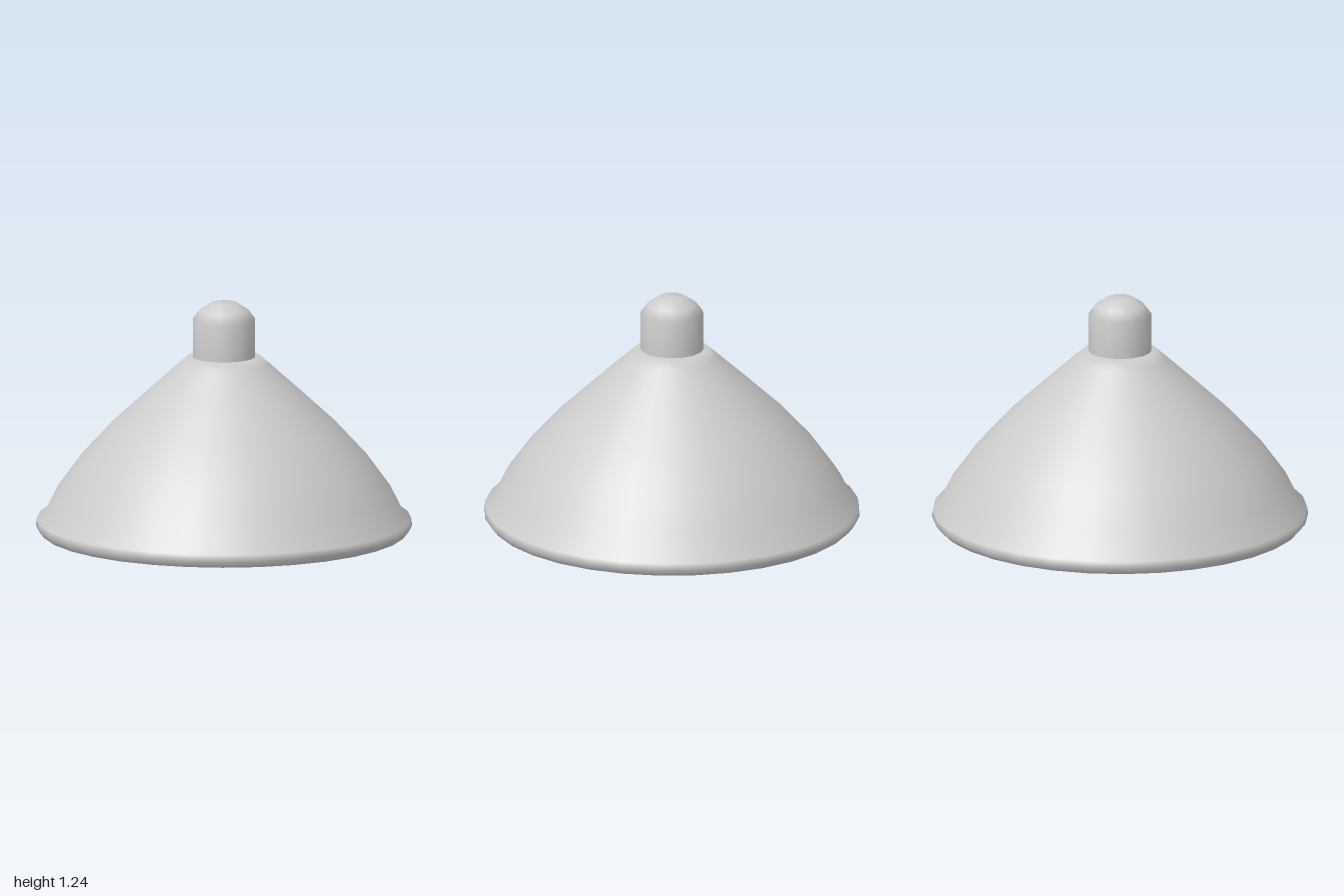
import * as THREE from 'three';

const grey = new THREE.MeshStandardMaterial({ color: 0xcccccc, side: THREE.DoubleSide });
grey.name = 'light grey';

// Smooth surface of revolution from [radius, height] pairs
function turned(name, profile, sides) {
  const points = profile.map(([r, y]) => new THREE.Vector2(r, y));
  const mesh = new THREE.Mesh(new THREE.LatheGeometry(points, sides), grey);
  mesh.name = name;
  return mesh;
}

export function createModel() {
  const group = new THREE.Group();
  group.name = 'lampShade';

  // Thick-walled shade: inner wall down to the lip, then the outer wall up to the top
  group.add(turned('shade', [
    [0, 0.91], [0.18, 0.91], [0.375, 0.735], [0.57, 0.555], [0.737, 0.375],
    [0.865, 0.195], [0.925, 0.075], [0.935, 0.035], [0.96, 0],
    [0.972, 0], [1, 0.035], [0.995, 0.073], [0.957, 0.1],
    [0.9, 0.215], [0.77, 0.395], [0.6, 0.58], [0.4, 0.765], [0.24, 0.91],
    [0.195, 0.95], [0, 0.95],
  ], 32));

  // Domed socket knob
  group.add(turned('knob', [
    [0.168, 0.95], [0.168, 1.15], [0.13, 1.2], [0.07, 1.24], [0, 1.242],
  ], 16));

  return group;
}
